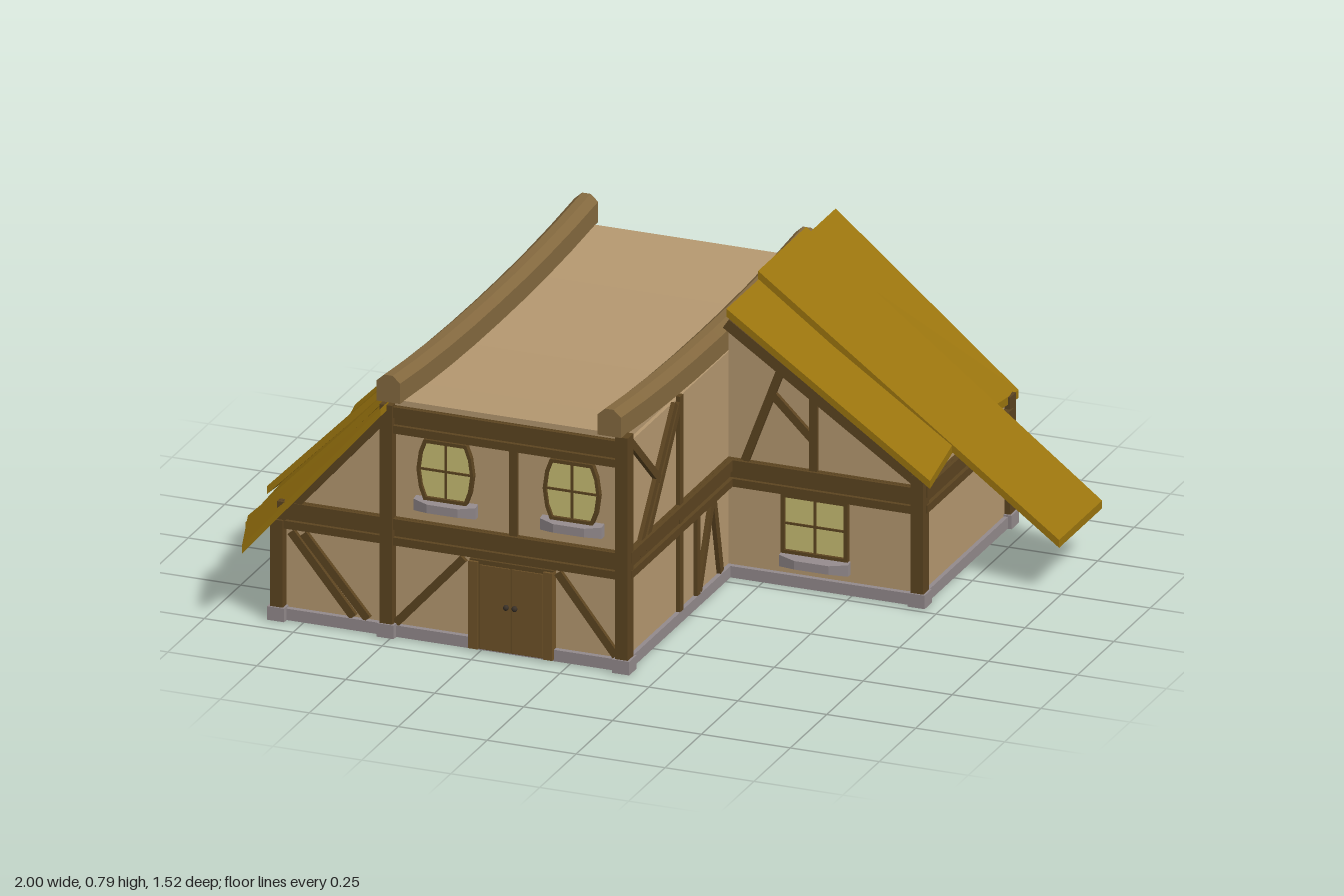
import * as THREE from 'three';

const mat = (name, color) => {
  const m = new THREE.MeshStandardMaterial({ color });
  m.name = name;
  return m;
};

export function createModel() {
  const plaster = mat('plaster', 0xb59870), timber = mat('timber', 0x5c4420), beamWood = mat('beam wood', 0x84693f);
  const roofWood = mat('roof plank', 0x9a740e), glass = mat('window glass', 0xc8bd72), stone = mat('stone', 0x938a8c);
  const doorWood = mat('door wood', 0x6f5228), iron = mat('iron', 0x3a3128);
  const house = new THREE.Group();
  house.name = 'timberHouse';

  const add = (parent, name, geo, m, x = 0, y = 0, z = 0) => {
    const mesh = new THREE.Mesh(geo, m);
    mesh.name = name;
    mesh.position.set(x, y, z);
    parent.add(mesh);
    return mesh;
  };
  const box = (parent, name, m, w, h, d, x, y, z) => add(parent, name, new THREE.BoxGeometry(w, h, d), m, x, y, z);
  const shapeOf = (pts) => new THREE.Shape(pts.map((p) => new THREE.Vector2(...p)));
  const extrude = (shape, depth) => new THREE.ExtrudeGeometry(shape, { depth, bevelEnabled: false });

  // Solid through a row of matching rings, capped and turned outward
  const loft = (rings) => {
    const tris = [], n = rings[0].length, last = rings[rings.length - 1];
    for (let r = 0; r + 1 < rings.length; r++) {
      for (let i = 0; i < n; i++) {
        const j = (i + 1) % n, a = rings[r], b = rings[r + 1];
        tris.push([a[i], a[j], b[j]], [a[i], b[j], b[i]]);
      }
    }
    for (let i = 1; i + 1 < n; i++) {
      tris.push([rings[0][0], rings[0][i + 1], rings[0][i]], [last[0], last[i], last[i + 1]]);
    }
    const v = (p) => new THREE.Vector3(...p);
    const volume = tris.reduce((s, [a, b, c]) => s + v(a).sub(v(rings[0][0])).dot(
      v(b).sub(v(rings[0][0])).cross(v(c).sub(v(rings[0][0])))), 0);
    if (volume < 0) tris.forEach((t) => t.reverse());
    const geo = new THREE.BufferGeometry();
    geo.setAttribute('position', new THREE.Float32BufferAttribute(tris.flat(2), 3));
    geo.computeVertexNormals();
    return geo;
  };

  // Plaster bodies
  add(house, 'mainWalls', extrude(shapeOf([[-0.82, 0], [0.15, 0], [0.15, 0.63], [-0.51, 0.63], [-0.82, 0.28]]), 1.3), plaster, 0, 0, -0.63);
  add(house, 'wingWalls', extrude(shapeOf([[0.15, 0], [0.69, 0], [0.69, 0.36], [0.15, 0.73]]), 0.59), plaster, 0, 0, -0.63);

  // Stone plinth
  const plinth = extrude(shapeOf([[-0.832, -0.685], [0.162, -0.685], [0.162, 0.025], [0.702, 0.025], [0.702, 0.645], [-0.832, 0.645]]), 0.032);
  plinth.rotateX(-Math.PI / 2);
  add(house, 'plinth', plinth, stone, 0, 0.003, 0);

  // Corner posts on stone blocks
  [[-0.82, 0.675, 0.28], [-0.512, 0.675, 0.65], [0.15, 0.675, 0.66], [0.688, -0.04, 0.365],
    [0.688, -0.637, 0.365], [0.15, -0.637, 0.71], [-0.512, -0.637, 0.65], [-0.82, -0.637, 0.28]].forEach(([x, z, h]) => {
    box(house, 'cornerPost', timber, 0.036, h, 0.04, x, h / 2 + 0.004, z);
    box(house, 'postBase', stone, 0.048, 0.038, 0.05, x, 0.021, z);
  });

  // Sagging roof deck and the two ridge beams
  const sag = (z) => 0.05 * Math.pow(Math.abs(z - 0.02) / 0.68, 2.2) * 0.6;
  const stations = Array.from({ length: 9 }, (_, i) => i / 8);
  const sagLoft = (section, z0, z1) => loft(stations.map((t) => {
    const z = z0 + (z1 - z0) * t;
    return section.map(([x, y]) => [x, y + sag(z), z]);
  }));
  add(house, 'roofDeck', sagLoft([[-0.5, 0.61], [0.14, 0.61], [0.14, 0.637], [-0.5, 0.637]], -0.64, 0.675), plaster);
  [-0.503, 0.118].forEach((x) => add(house, 'ridgeBeam', sagLoft(
    [[x - 0.033, 0.635], [x + 0.033, 0.635], [x + 0.033, 0.692], [x + 0.012, 0.711], [x - 0.012, 0.711], [x - 0.033, 0.692]], -0.66, 0.7), beamWood));

  // Wall faces: local x runs along the wall, local z points outward
  const face = (name, x, z, turn) => {
    const g = new THREE.Group();
    g.name = name;
    g.position.set(x, 0, z);
    g.rotation.y = turn;
    house.add(g);
    return g;
  };
  const bar = (g, u0, v0, u1, v1, w = 0.022, d = 0.012, name = 'timberBrace') => {
    const b = box(g, name, timber, Math.hypot(u1 - u0, v1 - v0), w, d, (u0 + u1) / 2, (v0 + v1) / 2, d / 2);
    b.rotation.z = Math.atan2(v1 - v0, u1 - u0);
  };
  const rail = (g, u0, u1, y) => {
    bar(g, u0, y, u1, y, 0.075, 0.009, 'railBacking');
    bar(g, u0, y + 0.022, u1, y + 0.022, 0.03, 0.02, 'upperRail');
    bar(g, u0, y - 0.026, u1, y - 0.026, 0.022, 0.02, 'lowerRail');
  };

  // Window from a half-width outline, with frame, cross bars and sill
  const windowAt = (g, u, v, pts, sillY, sillW) => {
    const full = [...pts, ...pts.map(([x, y]) => [-x, -y])];
    const frame = shapeOf(full);
    const inner = full.map(([x, y]) => new THREE.Vector2(x * 0.89, y * 0.89));
    const glazing = new THREE.Shape(inner);
    frame.holes.push(new THREE.Path(inner));
    add(g, 'windowFrame', extrude(frame, 0.016), timber, u, v, 0);
    add(g, 'windowGlass', extrude(glazing, 0.006), glass, u, v, 0.001);
    const w = Math.max(...full.map((p) => p[0])), h = Math.max(...full.map((p) => p[1]));
    box(g, 'windowBar', timber, 0.006, h * 1.85, 0.011, u, v, 0.0055);
    box(g, 'windowBar', timber, w * 1.85, 0.006, 0.011, u, v, 0.0055);
    const ring = (half, y0, y1, z) => [[-half, y0, z], [half, y0, z], [half, y1, z], [-half, y1, z]];
    add(g, 'windowSill', loft([ring(sillW, -0.018, 0.018, 0), ring(sillW, -0.018, 0.014, 0.018), ring(sillW * 0.5, -0.014, 0.01, 0.034)]), stone, u, sillY, 0);
  };
  const barrel = [[0.06, -0.085], [0.073, -0.05], [0.08, 0], [0.073, 0.05], [0.06, 0.085]];
  const square = [[0.094, -0.083], [0.094, 0.083]];
  const wide = [[0.15, -0.1], [0.21, -0.06], [0.228, 0], [0.21, 0.06], [0.15, 0.1]];

  // Front wall
  const front = face('frontWall', 0, 0.67, 0);
  rail(front, -0.82, 0.15, 0.298);
  rail(front, -0.51, 0.15, 0.612);
  bar(front, -0.83, 0.27, -0.51, 0.63, 0.03, 0.018, 'rafter');
  bar(front, -0.16, 0.33, -0.16, 0.58);
  bar(front, -0.785, 0.25, -0.61, 0.038);
  bar(front, -0.75, 0.25, -0.57, 0.038);
  bar(front, -0.49, 0.04, -0.3, 0.25);
  bar(front, -0.035, 0.25, 0.13, 0.04);
  [-0.35, 0.005].forEach((u) => windowAt(front, u, 0.485, barrel, 0.386, 0.087));

  // Double door
  box(front, 'doorFrame', timber, 0.235, 0.25, 0.018, -0.162, 0.132, 0.009);
  [-1, 1].forEach((s) => {
    box(front, 'doorJamb', doorWood, 0.026, 0.245, 0.026, -0.162 + s * 0.105, 0.13, 0.013);
    box(front, 'doorLeaf', doorWood, 0.086, 0.235, 0.022, -0.162 + s * 0.0455, 0.127, 0.011);
    add(front, 'doorKnob', new THREE.SphereGeometry(0.008, 8, 6), iron, -0.162 + s * 0.012, 0.137, 0.026);
  });

  // Front of the side wing
  const wingFront = face('wingFrontWall', 0, -0.04, 0);
  rail(wingFront, 0.15, 0.69, 0.298);
  bar(wingFront, 0.15, 0.715, 0.69, 0.35, 0.03, 0.018, 'rafter');
  bar(wingFront, 0.2, 0.335, 0.305, 0.615);
  bar(wingFront, 0.393, 0.335, 0.393, 0.55);
  bar(wingFront, 0.28, 0.53, 0.393, 0.42);
  windowAt(wingFront, 0.397, 0.178, square, 0.075, 0.097);

  // Right wall of the main body, u = -z
  const right = face('rightWall', 0.15, 0, Math.PI / 2);
  rail(right, -0.67, 0.04, 0.298);
  bar(right, -0.66, 0.645, -0.455, 0.46);
  bar(right, -0.345, 0.63, -0.6, 0.3);
  bar(right, -0.315, 0.62, -0.555, 0.3);
  bar(right, -0.31, 0.035, -0.31, 0.64);
  bar(right, -0.19, 0.035, -0.19, 0.26);
  bar(right, -0.18, 0.04, -0.09, 0.26);
  bar(right, -0.08, 0.26, -0.03, 0.04);

  // Outer walls of the wing and the lean-to
  const wingSide = face('wingSideWall', 0.69, 0, Math.PI / 2);
  rail(wingSide, 0.04, 0.63, 0.298);
  const left = face('leftWall', -0.82, 0, -Math.PI / 2);
  bar(left, -0.63, 0.26, 0.67, 0.26, 0.03, 0.016, 'leanToRail');

  // Back wall, u = -x
  const back = face('backWall', 0, -0.63, Math.PI);
  rail(back, -0.69, 0.82, 0.298);
  rail(back, -0.15, 0.51, 0.612);
  bar(back, -0.69, 0.35, -0.15, 0.715, 0.03, 0.018, 'rafter');
  bar(back, 0.51, 0.63, 0.83, 0.27, 0.03, 0.018, 'rafter');
  windowAt(back, 0.195, 0.45, wide, 0.345, 0.225);
  windowAt(back, -0.395, 0.155, wide, 0.055, 0.225);
  bar(back, -0.09, 0.25, 0.2, 0.09);
  bar(back, 0.205, 0.035, 0.205, 0.26);
  bar(back, 0.22, 0.05, 0.48, 0.25);
  bar(back, 0.06, 0.04, 0.2, 0.17);
  bar(back, 0.62, 0.04, 0.79, 0.25);

  // Roof planks: two corners at the ridge, two at the eaves
  const plank = (name, t0, t1, e0, e1, thick = 0.022) => {
    const ring = (a, b) => [a, b, [b[0], b[1] - thick, b[2]], [a[0], a[1] - thick, a[2]]];
    add(house, name, loft([ring(t0, t1), ring(e0, e1)]), roofWood);
  };
  plank('wingRoofPlank', [0.155, 0.76, -0.015], [0.155, 0.76, -0.24], [0.725, 0.362, -0.02], [0.7, 0.38, -0.24]);
  plank('wingRoofPlank', [0.155, 0.76, -0.53], [0.155, 0.76, -0.765], [0.7, 0.38, -0.53], [0.7, 0.362, -0.69]);
  plank('wingRoofLongPlank', [0.16, 0.79, -0.22], [0.16, 0.79, -0.55], [1, 0.158, -0.235], [1, 0.158, -0.53]);

  // Lean-to planks: ridge x, y, z range, then eave x, z pairs and eave height
  [[-0.51, 0.66, 0.55, 0.738, -0.955, 0.56, -0.89, 0.76, 0.225],
    [-0.53, 0.672, 0.44, 0.56, -0.95, 0.45, -0.955, 0.575, 0.212],
    [-0.53, 0.665, 0.25, 0.455, -0.965, 0.29, -0.955, 0.465, 0.222],
    [-0.535, 0.678, -0.03, 0.265, -0.97, -0.03, -1, 0.32, 0.21],
    [-0.53, 0.666, -0.22, -0.025, -0.96, -0.1, -0.975, -0.025, 0.222],
    [-0.535, 0.678, -0.435, -0.205, -1, -0.285, -0.96, -0.085, 0.212],
    [-0.53, 0.664, -0.55, -0.425, -0.96, -0.54, -0.955, -0.27, 0.222],
    [-0.53, 0.674, -0.738, -0.54, -0.915, -0.73, -0.97, -0.535, 0.215],
  ].forEach(([x, y, z0, z1, xa, za, xb, zb, ye]) => plank('leanToPlank', [x, y, z0], [x, y, z1], [xa, ye, za], [xb, ye, zb]));

  return house;
}
